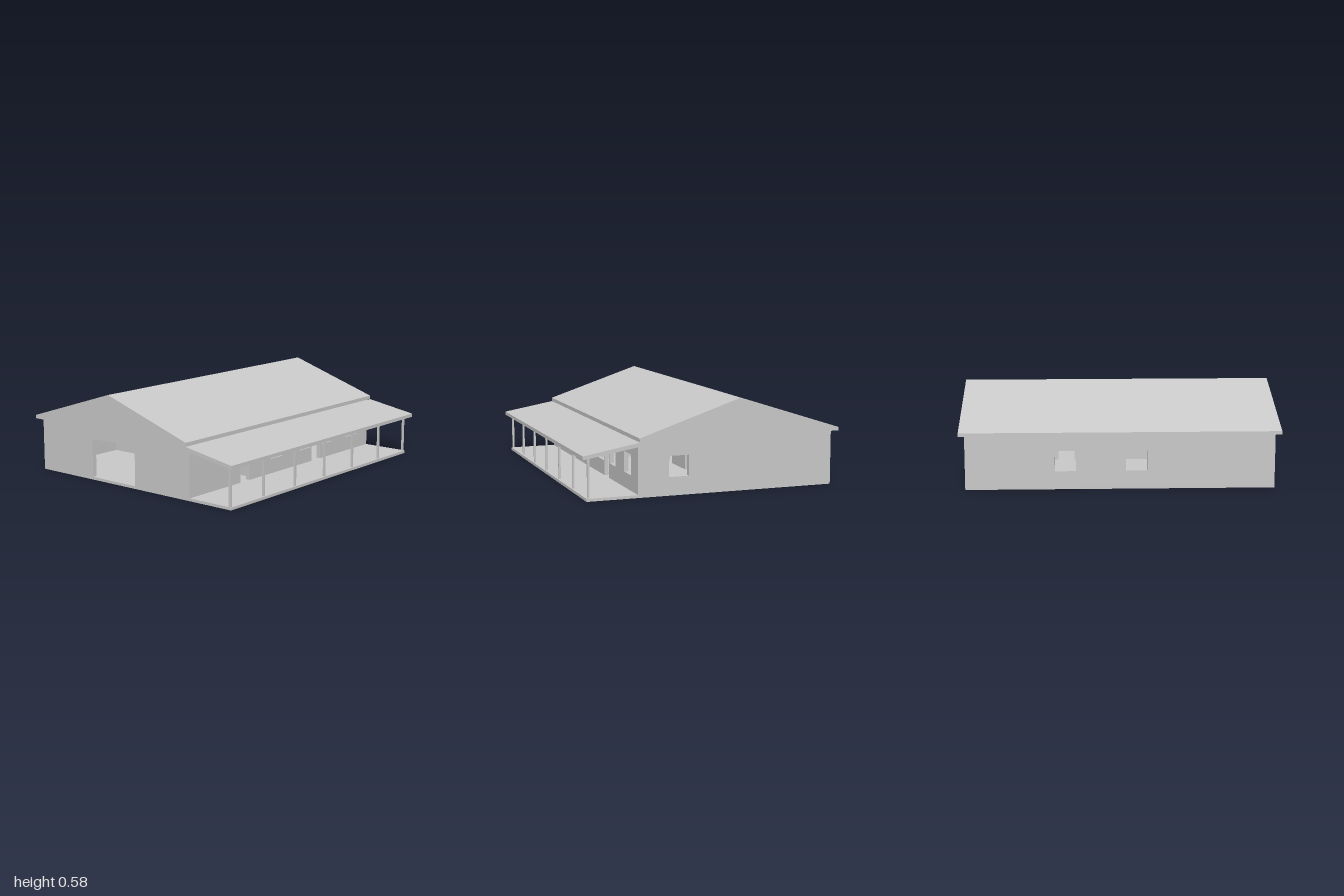
import * as THREE from 'three';

export function createModel() {
  const house = new THREE.Group();
  house.name = 'house';
  const grey = new THREE.MeshStandardMaterial({ color: 0xc8c8c8 });
  grey.name = 'plain grey';

  const X = 0.965, FRONT = 0.485, BACK = -0.803, T = 0.03;
  const FLOOR = 0.018, EAVE = 0.346, HEAD = 0.237;

  const add = (name, geometry, x = 0, y = 0, z = 0, turn = 0) => {
    const mesh = new THREE.Mesh(geometry, grey);
    mesh.name = name;
    mesh.position.set(x, y, z);
    mesh.rotation.y = turn;
    house.add(mesh);
  };
  const outline = (pts, Kind = THREE.Shape) => new Kind(pts.map(p => new THREE.Vector2(...p)));
  const rect = (a, b, y0, y1) => [[a, y0], [b, y0], [b, y1], [a, y1]];
  const win = (a, b) => rect(a, b, 0.115, 0.245);
  const door = (a, b, top = HEAD) => rect(a, b, FLOOR, top);

  // Upright wall from a to b with rectangular openings
  const wall = (a, b, holes, depth = T) => {
    const shape = outline(rect(a, b, FLOOR, EAVE));
    for (const h of holes) shape.holes.push(outline(h, THREE.Path));
    return new THREE.ExtrudeGeometry(shape, { depth, bevelEnabled: false });
  };
  // Profile in (z, y) extended along the whole width
  const alongX = (pts, half) => new THREE.ExtrudeGeometry(outline(pts), { depth: 2 * half, bevelEnabled: false });
  const TURN = -Math.PI / 2;

  // Ground slab under the rooms and the porch
  add('floorSlab', alongX([[BACK, 0], [0.808, 0], [0.808, FLOOR], [BACK, FLOOR]], X), X, 0, 0, TURN);

  // Outer walls
  add('frontWall', wall(-X, X, [
    door(-0.48, -0.385), win(-0.166, -0.035), win(0.15, 0.28),
    door(0.29, 0.39), win(0.405, 0.53), win(0.70, 0.835),
  ]), 0, 0, FRONT - T);
  add('backWall', wall(-X, X, [win(-0.168, -0.035), win(0.275, 0.408)]), 0, 0, BACK);
  add('leftWall', wall(BACK + T, FRONT - T, [win(0.158, 0.288)]), X, 0, 0, TURN);
  add('rightWall', wall(BACK + T, FRONT - T, [door(-0.343, 0.03, 0.27)]), -X + T, 0, 0, TURN);

  // Inner partitions
  add('longPartition', wall(-0.3, X - T, [
    door(-0.053, 0.04), door(0.285, 0.395), door(0.645, 0.74),
  ], 0.02), 0, 0, -0.1);
  add('crossPartition', wall(BACK + T, FRONT - T, [door(0.15, 0.25)], 0.02), -0.3, 0, 0, TURN);
  add('backPartition', wall(BACK + T, -0.1, [], 0.02), 0.12, 0, 0, TURN);

  // Solid gabled main roof
  add('mainRoof', alongX([
    [-0.838, EAVE], [0.486, EAVE], [0.486, 0.368], [-0.16, 0.582], [-0.838, 0.368],
  ], 1), 1, 0, 0, TURN);

  // Sloping porch roof
  add('porchRoof', alongX([
    [0.485, 0.317], [0.839, 0.258], [0.839, 0.281], [0.485, 0.343],
  ], 1), 1, 0, 0, TURN);

  // Row of porch posts
  for (let i = -3; i <= 3; i++) {
    add('porchPost', new THREE.BoxGeometry(0.013, 0.25, 0.013), i * 0.3185, FLOOR + 0.125, 0.794);
  }
  return house;
}
